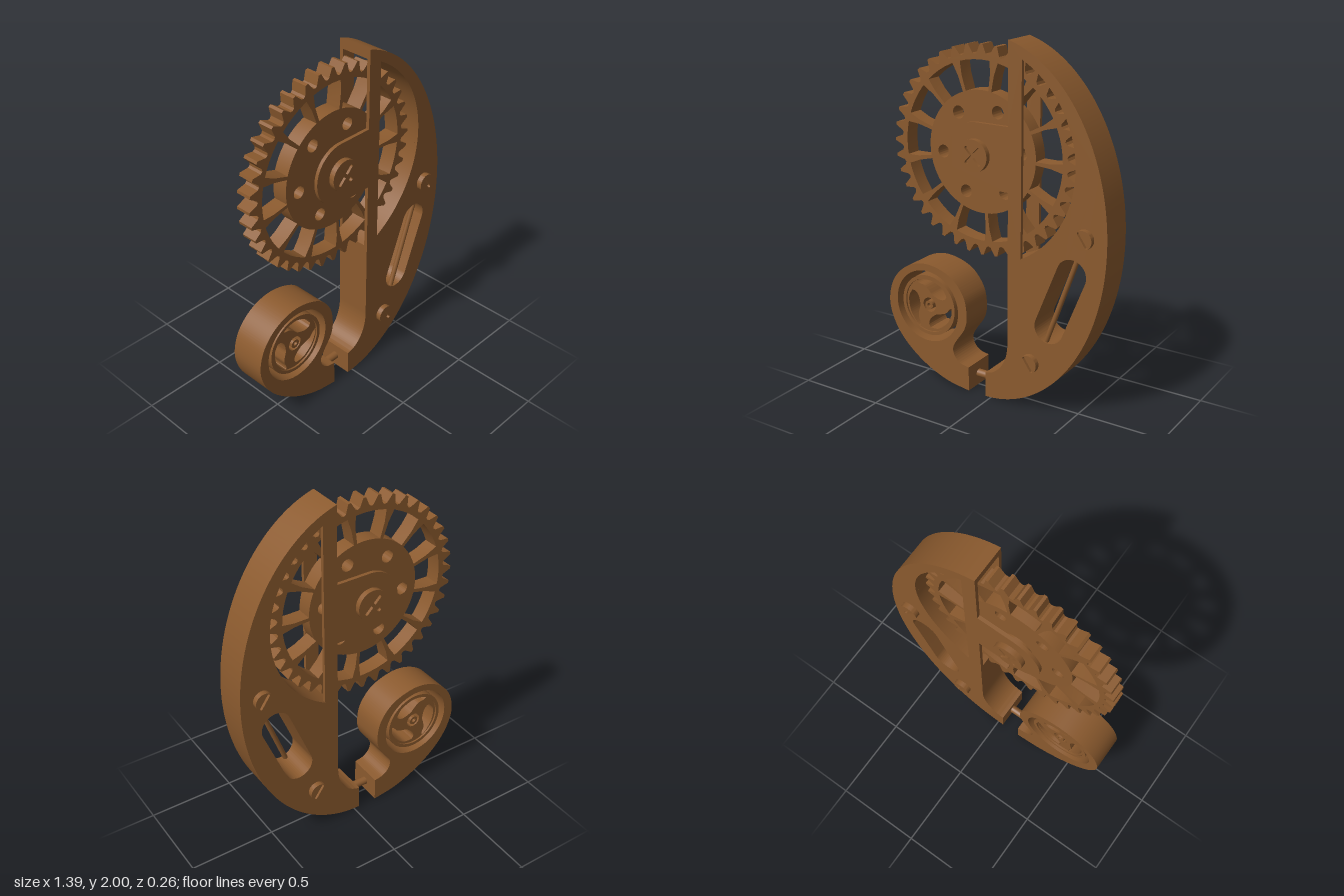
import * as THREE from 'three';
import { toCreasedNormals } from 'three/addons/utils/BufferGeometryUtils.js';

const HALF = 0.102;   // half depth of the frame
const PLATE = 0.02;   // thickness of the frame's cheek plates
const CAP = 0.132;    // half depth reached by screw heads
const GEAR = { x: -0.09, y: 1.386 };
const WHEEL = { x: -0.428, y: 0.455 };

const v = ([x, y]) => new THREE.Vector2(x, y);

export function createModel() {
  const brown = new THREE.MeshStandardMaterial({ color: 0x8b5a2e });
  brown.name = 'brown';
  const model = new THREE.Group();
  model.name = 'gearOrnament';

  const add = (name, geometry, parent = model) => {
    const mesh = new THREE.Mesh(geometry, brown);
    mesh.name = name;
    parent.add(mesh);
    return mesh;
  };
  const group = (name, x, y) => {
    const g = new THREE.Group();
    g.name = name;
    g.position.set(x, y, 0);
    model.add(g);
    return g;
  };
  // Extrude a shape between two z values
  const slab = (shape, z0, z1, curveSegments = 32) => {
    const g = new THREE.ExtrudeGeometry(shape, { depth: z1 - z0, bevelEnabled: false, curveSegments });
    g.translate(0, 0, z0);
    return toCreasedNormals(g, 0.5);
  };
  const disc = (r, x = 0, y = 0) => new THREE.Shape().absarc(x, y, r, 0, Math.PI * 2, false);
  const ring = (outer, inner) => {
    const s = disc(outer);
    s.holes.push(disc(inner));
    return s;
  };
  // Round-ended slot between two points
  const capsule = (x0, y0, x1, y1, r) => {
    const a = Math.atan2(y1 - y0, x1 - x0);
    const p = new THREE.Path();
    p.absarc(x1, y1, r, a - Math.PI / 2, a + Math.PI / 2, false);
    p.absarc(x0, y0, r, a + Math.PI / 2, a + Math.PI * 1.5, false);
    p.closePath();
    return p;
  };
  // Rod between two points
  const rod = (name, a, b, r) => {
    const from = new THREE.Vector3(...a), dir = new THREE.Vector3(...b).sub(from);
    const m = add(name, new THREE.CylinderGeometry(r, r, dir.length(), 20));
    m.position.copy(from).addScaledVector(dir, 0.5);
    m.quaternion.setFromUnitVectors(new THREE.Vector3(0, 1, 0), dir.normalize());
  };

  // Curved main frame with an elliptical back: a core with a round bite,
  // between two cheek plates that carry the axle arm
  const ELLIPSE = { x: -0.035, y: 1.01, rx: 0.727, ry: 1.01 };
  const frameShape = (innerEdge) => {
    const s = new THREE.Shape();
    s.moveTo(-0.035, 0);
    s.lineTo(-0.035, 0.145);
    s.bezierCurveTo(0.05, 0.155, 0.11, 0.24, 0.11, 0.36);
    innerEdge(s);
    const start = Math.acos((0.11 - ELLIPSE.x) / ELLIPSE.rx);
    s.absellipse(ELLIPSE.x, ELLIPSE.y, ELLIPSE.rx, ELLIPSE.ry, start, -Math.PI / 2, true);
    s.holes.push(capsule(0.365, 0.508, 0.493, 0.833, 0.086));
    return s;
  };
  const BITE = 0.594;
  const biteAngle = Math.acos((0.11 - GEAR.x) / BITE);
  const core = frameShape((s) => s.absarc(GEAR.x, GEAR.y, BITE, -biteAngle, biteAngle, false));
  const cheek = frameShape((s) => {
    s.lineTo(0.11, GEAR.y - 0.174);
    s.lineTo(GEAR.x, GEAR.y - 0.174);
    s.absarc(GEAR.x, GEAR.y, 0.174, -Math.PI / 2, Math.PI / 2, true);
    s.lineTo(0.11, GEAR.y + 0.174);
  });
  const windowAngle = Math.acos((0.19 - GEAR.x) / BITE);
  const crescent = new THREE.Path();
  crescent.absarc(GEAR.x, GEAR.y, BITE, -windowAngle, windowAngle, false);
  crescent.closePath();
  cheek.holes.push(crescent);
  add('frameCore', slab(core, PLATE - HALF, HALF - PLATE, 48));
  add('frontCheek', slab(cheek, HALF - PLATE, HALF, 48));
  add('backCheek', slab(cheek, -HALF, PLATE - HALF, 48));
  rod('slotRod', [0.342, 0.425, 0.082], [0.52, 0.925, 0.082], 0.014);

  // Toothed gear with tapered spokes and a drilled hub
  const gear = group('gear', GEAR.x, GEAR.y);
  const TEETH = 40, gearHalf = 0.045;
  const teeth = [];
  for (let i = 0; i < TEETH; i++) {
    for (const [f, r] of [[-0.5, 0.517], [-0.34, 0.524], [-0.09, 0.571], [0.09, 0.571], [0.34, 0.524]]) {
      const a = (i + f) / TEETH * Math.PI * 2;
      teeth.push(v([Math.cos(a) * r, Math.sin(a) * r]));
    }
  }
  const rim = new THREE.Shape(teeth);
  rim.holes.push(disc(0.49));
  add('gearRim', slab(rim, -gearHalf, gearHalf), gear);
  const hub = disc(0.333);
  for (let i = 0; i < 6; i++) {
    const a = THREE.MathUtils.degToRad(6 + i * 60);
    hub.holes.push(disc(0.035, Math.cos(a) * 0.247, Math.sin(a) * 0.247));
  }
  add('gearHub', slab(hub, -gearHalf, gearHalf), gear);
  const spoke = new THREE.Shape([[0.325, -0.009], [0.42, -0.012], [0.495, -0.026],
    [0.495, 0.026], [0.42, 0.012], [0.325, 0.009]].map(v));
  const spokeGeometry = slab(spoke, -gearHalf, gearHalf);
  for (let i = 0; i < 13; i++) {
    add('gearSpoke', spokeGeometry, gear).rotation.z = THREE.MathUtils.degToRad(81 + i * 360 / 13);
  }

  // Axle with a cross recess at both ends
  const axle = group('axle', GEAR.x, GEAR.y);
  add('axleShaft', slab(disc(0.088), -0.115, 0.115), axle);
  const cross = new THREE.Path();
  for (let i = 0; i < 4; i++) {
    const a = Math.PI / 4 + i * Math.PI / 2, w = 0.01;
    cross.absarc(Math.cos(a) * 0.055, Math.sin(a) * 0.055, w, a - Math.PI / 2, a + Math.PI / 2, false);
    cross.lineTo(Math.cos(a + Math.PI / 4) * w * Math.SQRT2, Math.sin(a + Math.PI / 4) * w * Math.SQRT2);
  }
  const head = disc(0.088);
  head.holes.push(cross);
  add('axleHeadFront', slab(head, 0.115, CAP), axle);
  add('axleHeadBack', slab(head, -CAP, -0.115), axle);

  // Slotted screws through the frame
  const screwHead = disc(0.052);
  screwHead.holes.push(capsule(-0.04, 0, 0.04, 0, 0.008));
  for (const [x, y] of [[0.567, 1.045], [0.255, 0.281]]) {
    const screw = group('screw', x, y);
    screw.rotation.z = THREE.MathUtils.degToRad(-55);
    add('screwShaft', slab(disc(0.052), -0.115, 0.115), screw);
    add('screwHeadFront', slab(screwHead, 0.115, CAP), screw);
    add('screwHeadBack', slab(screwHead, -CAP, -0.115), screw);
  }

  // Curled tail holding the small wheel
  const tail = new THREE.Shape();
  tail.moveTo(-0.148, 0.001);
  tail.lineTo(-0.148, 0.145);
  tail.splineThru([[-0.205, 0.158], [-0.243, 0.195], [-0.252, 0.245], [-0.222, 0.3], [-0.175, 0.37],
    [-0.158, 0.45], [-0.18, 0.565], [-0.268, 0.665], [-0.42, 0.708], [-0.56, 0.672], [-0.66, 0.575],
    [-0.697, 0.44], [-0.664, 0.308], [-0.58, 0.193], [-0.45, 0.094], [-0.3, 0.028], [-0.148, 0.001]].map(v));
  tail.holes.push(disc(0.212, WHEEL.x, WHEEL.y));
  add('curledTail', slab(tail, -HALF, HALF));
  rod('linkPin', [-0.2, 0.072, 0], [0.02, 0.072, 0], 0.023);

  // Small wheel with three comma-shaped openings and a hollow pin
  const wheel = group('smallWheel', WHEEL.x, WHEEL.y);
  add('wheelRim', slab(ring(0.18, 0.16), -0.09, 0.09), wheel);
  const face = disc(0.162);
  face.holes.push(disc(0.043));
  const comma = [[-0.122, 0.066], [-0.146, 0.016], [-0.137, -0.058], [-0.106, -0.11], [-0.072, -0.142],
    [-0.068, -0.122], [-0.08, -0.085], [-0.075, -0.05], [-0.066, -0.012], [-0.076, 0.038], [-0.098, 0.064]];
  for (let i = 0; i < 3; i++) {
    const pts = comma.map((p) => v(p).rotateAround(new THREE.Vector2(), i * Math.PI * 2 / 3));
    const hole = new THREE.Path();
    hole.moveTo(pts[0].x, pts[0].y);
    hole.splineThru([...pts.slice(1), pts[0]]);
    face.holes.push(hole);
  }
  add('wheelFace', slab(face, -0.08, 0.08), wheel);
  add('wheelPin', slab(ring(0.026, 0.012), -0.085, 0.085), wheel);

  return model;
}
